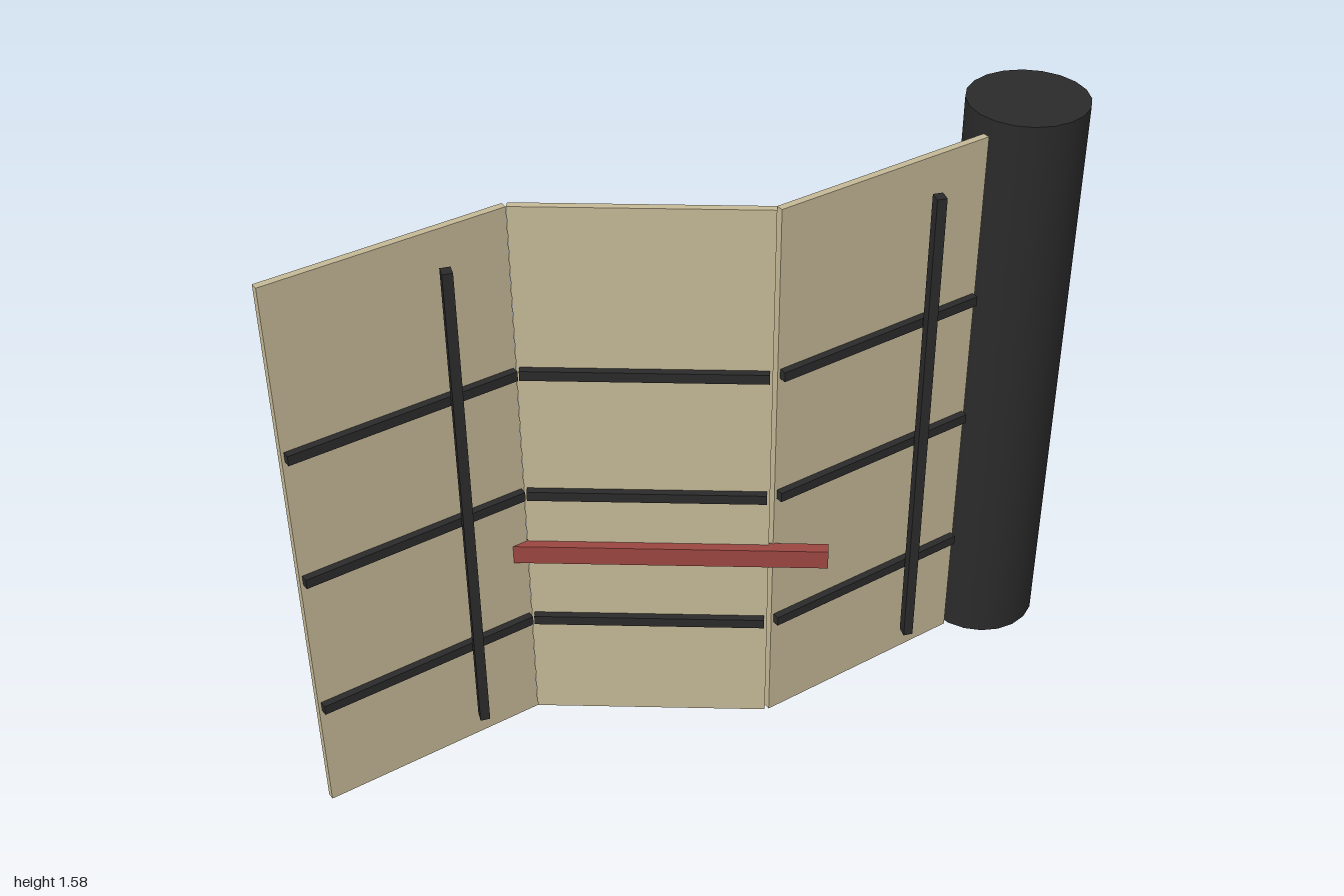
import * as THREE from 'three';

const FOLD = THREE.MathUtils.degToRad(18);

export function createModel() {
  const model = new THREE.Group();
  const material = (name, color) => {
    const m = new THREE.MeshStandardMaterial({ color });
    m.name = name;
    return m;
  };
  const tan = material('tan panel', 0xc4b896);
  const black = material('black', 0x2a2a2a);
  const red = material('red', 0x9c4641);

  const box = (parent, name, size, position, mat, turn = 0) => {
    const mesh = new THREE.Mesh(new THREE.BoxGeometry(...size), mat);
    mesh.name = name;
    mesh.position.set(...position);
    mesh.rotation.y = turn;
    parent.add(mesh);
    return mesh;
  };

  // Three zigzag panels, each with three straps on its front
  [[-0.725, 1], [-0.173, -1], [0.378, 1]].forEach(([x, side], i) => {
    const leaf = new THREE.Group();
    leaf.name = 'foldingLeaf' + (i + 1);
    leaf.position.set(x, 0, 0.142);
    leaf.rotation.y = side * FOLD;
    box(leaf, 'panel', [0.574, 1.445, 0.018], [0, 0.8525, 0], tan);
    for (const y of [0.43, 0.812, 1.152]) {
      box(leaf, 'strap', [0.56, 0.025, 0.02], [0, y, 0.017], black);
    }
    model.add(leaf);
  });

  // Upright bars, two in front and one behind the middle panel
  for (const x of [-0.6, -0.045, 0.507]) {
    box(model, 'uprightBar', [0.024, 1.28, 0.028], [x, 0.855, 0.151], black);
  }

  // Slanted rail and the short upright grip behind
  box(model, 'rail', [0.845, 0.05, 0.03], [-0.173, 0.64, 0.16], red, -FOLD);
  box(model, 'grip', [0.046, 0.5, 0.028], [0.125, 0.89, 0.158], red, -FOLD);

  // Free-standing column
  const column = new THREE.Mesh(new THREE.CylinderGeometry(0.149, 0.149, 1.535, 20), black);
  column.name = 'column';
  column.position.set(0.851, 0.7675, -0.16);
  model.add(column);

  return model;
}
